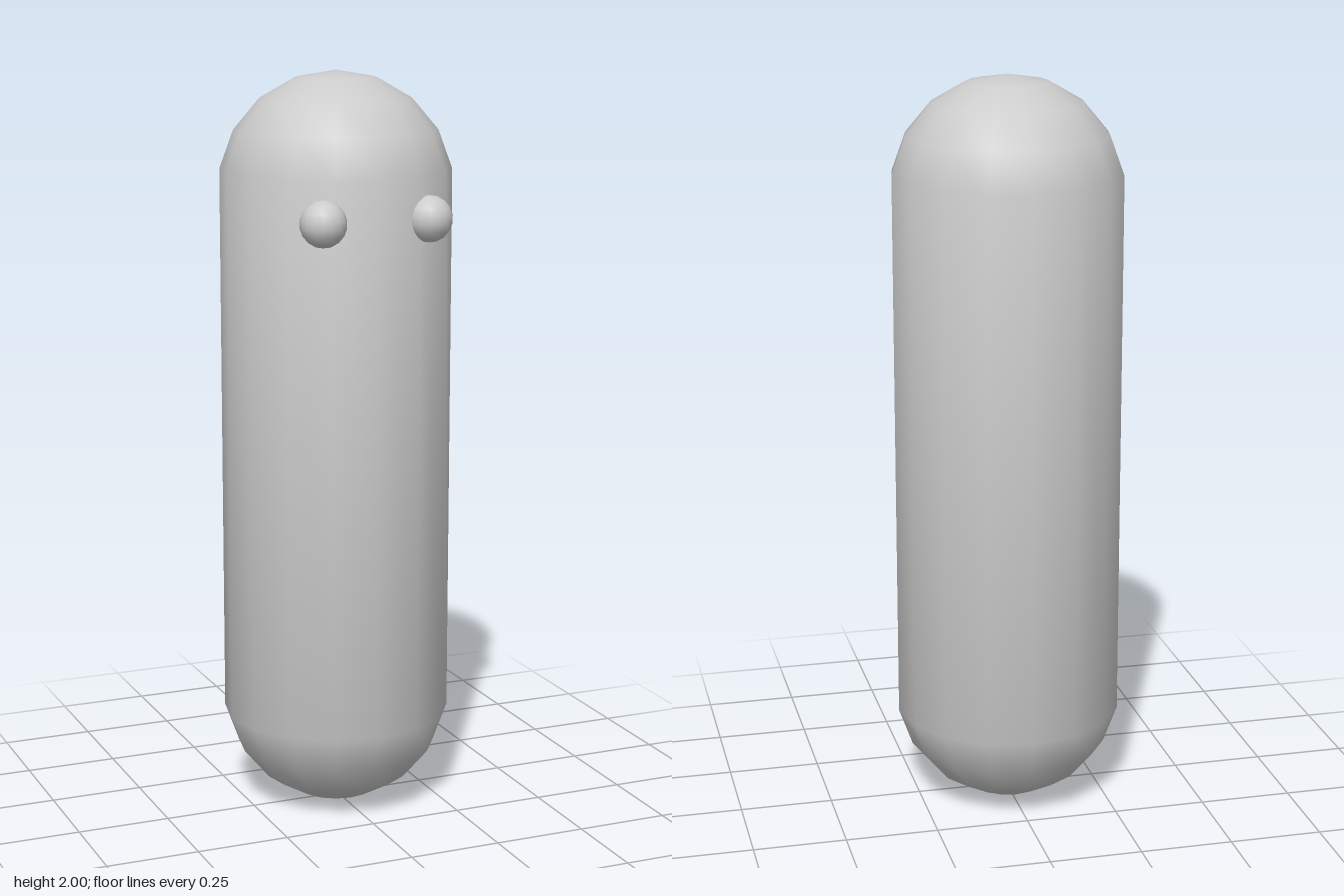
import * as THREE from 'three';

const material = new THREE.MeshStandardMaterial({ color: 0xcccccc });

function addMesh(group, name, geometry, x, y, z) {
  const mesh = new THREE.Mesh(geometry, material);
  mesh.name = name;
  mesh.position.set(x, y, z);
  group.add(mesh);
}

// Sphere whose middle band is pulled apart into a straight-sided capsule
function capsule(radius, height) {
  const geometry = new THREE.SphereGeometry(radius, 16, 9);
  const pos = geometry.attributes.position;
  const shift = height / 2 - radius;
  for (let i = 0; i < pos.count; i++) {
    const y = pos.getY(i);
    pos.setY(i, y + Math.sign(y) * shift);
  }
  return geometry;
}

export function createModel() {
  const model = new THREE.Group();
  model.name = 'capsuleFigure';

  addMesh(model, 'body', capsule(0.312, 2), 0, 1, -0.013);

  // Small ball eyes, half sunk into the front of the body
  const eye = new THREE.SphereGeometry(0.061, 16, 9);
  for (const [name, side] of [['leftEye', 1], ['rightEye', -1]]) {
    addMesh(model, name, eye, side * 0.147, 1.633, 0.258);
  }
  return model;
}
